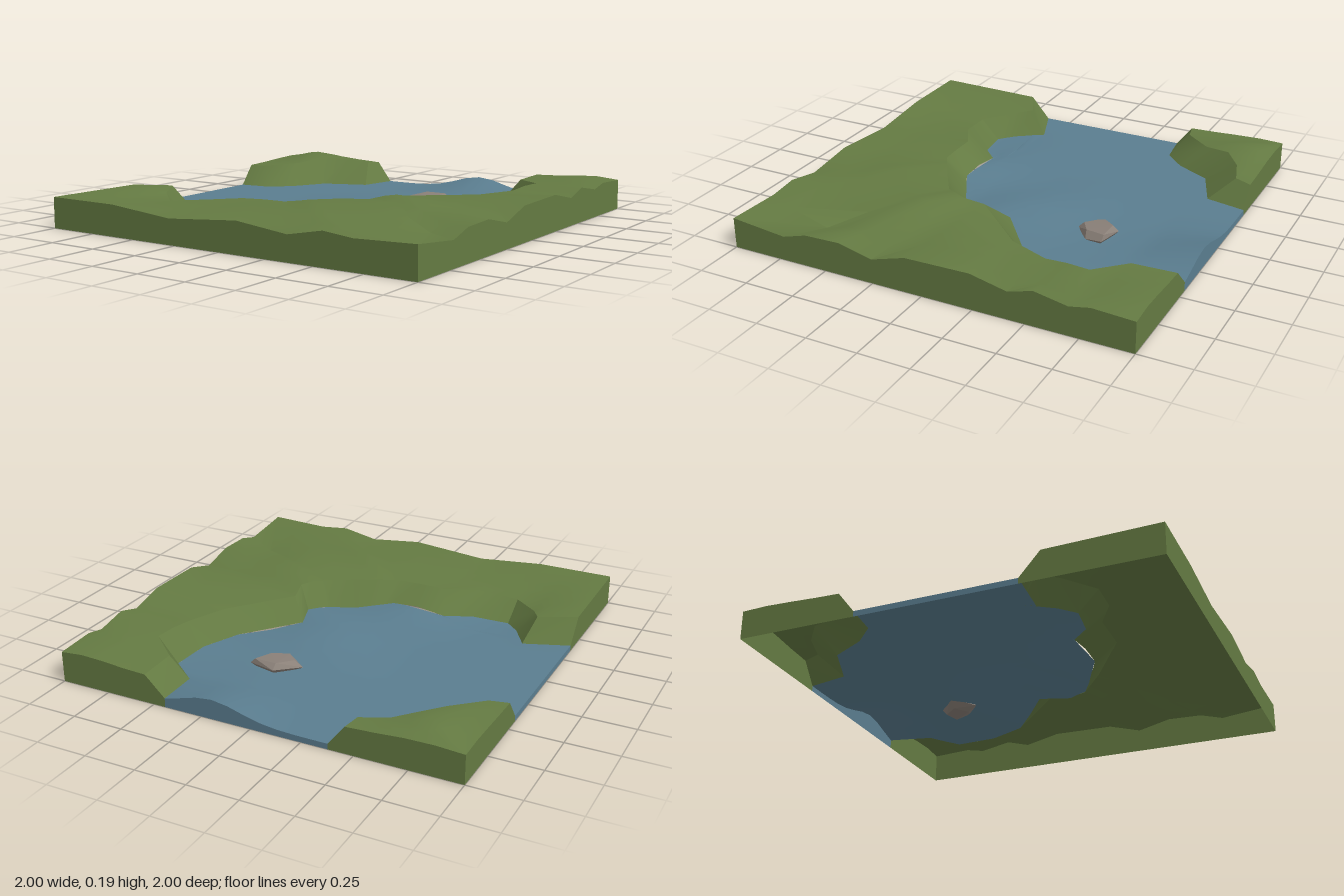
import * as THREE from 'three';
import { toCreasedNormals } from 'three/addons/utils/BufferGeometryUtils.js';
import { ConvexGeometry } from 'three/addons/geometries/ConvexGeometry.js';

const { lerp } = THREE.MathUtils;

// Sum of soft bumps, each [x, z, height, radius]
const bumps = (list, x, z) => list.reduce(
  (sum, [bx, bz, h, r]) => sum + h * Math.exp(-((x - bx) ** 2 + (z - bz) ** 2) / (r * r)), 0);

const WAVES = [[0.2, -1, 0.07, 0.2], [0.12, -0.06, 0.045, 0.22], [-0.15, 0.4, 0.045, 0.22],
  [-0.1, -0.27, 0.012, 0.2], [-0.62, 0.5, -0.012, 0.2], [0.3, 0.12, 0.02, 0.12]];
const HILLS = [[0.45, 0.36, 0.025, 0.2], [0.15, 0.5, 0.02, 0.2], [0.8, 0.57, -0.02, 0.14],
  [-0.79, -0.85, 0.025, 0.18], [0.85, -0.9, 0.02, 0.15], [-0.4, 0.8, -0.012, 0.2]];

const waterPoint = (x, z) => [x, 0.027 + bumps(WAVES, x, z), z];

// Surface through rows of points
function loft(name, rows, material) {
  const pos = [];
  const tri = (a, b, c) => {
    const same = (p, q) => p.every((v, i) => Math.abs(v - q[i]) < 1e-6);
    if (!same(a, b) && !same(b, c) && !same(a, c)) pos.push(...a, ...b, ...c);
  };
  for (let i = 0; i < rows.length - 1; i++) {
    for (let j = 0; j < rows[i].length - 1; j++) {
      const [a, b, c, d] = [rows[i][j], rows[i + 1][j], rows[i + 1][j + 1], rows[i][j + 1]];
      tri(a, b, c);
      tri(a, c, d);
    }
  }
  const geometry = new THREE.BufferGeometry();
  geometry.setAttribute('position', new THREE.Float32BufferAttribute(pos, 3));
  const mesh = new THREE.Mesh(toCreasedNormals(geometry, 0.5), material);
  mesh.name = name;
  return mesh;
}

// Vertical side dropping from a line of points to the ground
const skirt = (name, line, material) =>
  loft(name, line.map(([x, y, z]) => [[x, y, z], [x, 0, z]]), material);

// Land sections: shore x z, bank top x z y, tile border x z y
const EAST = [
  [0.44, -1, 0.54, -1, 0.14, 1, -1, 0.15],
  [0.46, -0.77, 0.55, -0.79, 0.14, 1, -0.8, 0.16],
  [0.60, -0.66, 0.70, -0.66, 0.15, 1, -0.7, 0.14],
  [0.595, -0.55, 0.69, -0.55, 0.15, 1, -0.54, 0.17],
  [0.59, -0.45, 0.68, -0.44, 0.14, 1, -0.42, 0.135],
  [0.51, -0.26, 0.60, -0.24, 0.14, 1, -0.24, 0.175],
  [0.26, -0.05, 0.35, 0.04, 0.15, 1, 0.08, 0.17],
  [0.31, 0.10, 0.37, 0.14, 0.17, 1, 0.25, 0.12],
  [0.27, 0.16, 0.34, 0.20, 0.17, 1, 0.42, 0.16],
  [0.25, 0.19, 0.32, 0.23, 0.165, 1, 0.6, 0.155],
  [0.23, 0.21, 0.30, 0.26, 0.16, 1, 0.72, 0.12],
];
const SOUTH = [
  [0.12, 0.27, 0.16, 0.35, 0.16, 1, 1, 0.15],
  [0.04, 0.31, 0.06, 0.41, 0.155, 0.7, 1, 0.14],
  [0.0, 0.335, 0.02, 0.435, 0.15, 0.55, 1, 0.155],
  [-0.05, 0.36, -0.04, 0.47, 0.145, 0.37, 1, 0.12],
  [-0.18, 0.36, -0.15, 0.475, 0.145, 0.1, 1, 0.15],
  [-0.33, 0.36, -0.28, 0.48, 0.14, -0.28, 1, 0.12],
  [-0.45, 0.46, -0.44, 0.57, 0.13, -0.45, 1, 0.135],
  [-0.63, 0.49, -0.64, 0.59, 0.11, -0.62, 1, 0.15],
  [-0.70, 0.42, -0.77, 0.47, 0.12, -0.8, 1, 0.15],
  [-0.78, 0.28, -0.82, 0.37, 0.14, -0.9, 1, 0.15],
  [-1, 0.36, -1, 0.46, 0.14, -1, 1, 0.15],
];
const CORNER = [
  [-1, -0.42, -1, -0.50, 0.13],
  [-0.83, -0.44, -0.91, -0.52, 0.13],
  [-0.73, -0.54, -0.78, -0.66, 0.14],
  [-0.64, -0.71, -0.71, -0.80, 0.165],
  [-0.53, -0.755, -0.61, -0.88, 0.15],
  [-0.42, -0.80, -0.48, -0.92, 0.14],
  [-0.38, -1, -0.46, -1, 0.13],
].map((s) => [...s, -1, -1, 0.14]);

// Bank, rolling ground and outer side of one piece of land
function buildLand(name, sections, material) {
  const group = new THREE.Group();
  group.name = name;
  const ground = sections.map(([, , ox, oz, oy, bx, bz, by]) =>
    [0, 0.25, 0.5, 0.75, 1].map((t) => {
      const x = lerp(ox, bx, t), z = lerp(oz, bz, t);
      const inside = t > 0 && t < 1 ? bumps(HILLS, x, z) : 0;
      return [x, lerp(oy, by, t) + inside, z];
    }));
  const rows = ground.map((row, i) => [waterPoint(sections[i][0], sections[i][1]), ...row]);
  const border = rows.slice(1, -1).map((row) => row.at(-1));
  const rim = [...rows[0], ...border, ...rows.at(-1).slice().reverse()];
  group.add(
    loft('bank', rows.map((row) => row.slice(0, 2)), material),
    loft('ground', ground, material),
    skirt('landSide', rim, material),
  );
  return group;
}

// Water sections: west end x z, east end x z
const POND = [
  [-0.38, -1, 0.44, -1], [-0.42, -0.8, 0.46, -0.77], [-0.53, -0.755, 0.53, -0.715],
  [-0.64, -0.71, 0.60, -0.66], [-0.73, -0.54, 0.59, -0.45], [-0.83, -0.44, 0.55, -0.355],
  [-1, -0.42, 0.51, -0.26], [-1, -0.25, 0.385, -0.155], [-1, -0.05, 0.26, -0.05],
  [-1, 0.1, 0.31, 0.10], [-1, 0.22, 0.27, 0.16], [-1, 0.30, 0.23, 0.21],
  [-1, 0.36, 0.12, 0.27], [-0.78, 0.28, -0.05, 0.36], [-0.74, 0.35, -0.33, 0.36],
  [-0.70, 0.42, -0.45, 0.46], [-0.63, 0.49, -0.63, 0.49],
];

function buildWater(material) {
  const group = new THREE.Group();
  group.name = 'water';
  const steps = 10;
  const rows = POND.map(([ax, az, bx, bz]) => Array.from({ length: steps + 1 },
    (_, i) => waterPoint(lerp(ax, bx, i / steps), lerp(az, bz, i / steps))));
  const westEdge = rows.slice(6, 13).map((row) => row[0]).reverse();
  group.add(
    loft('waterSurface', rows, material),
    skirt('waterBackSide', rows[0], material),
    skirt('waterWestSide', westEdge, material),
  );
  return group;
}

// Faceted boulder poking out of the water
function buildRock() {
  const points = [
    [0.09, 0.062, -0.44], [0.14, 0.075, -0.53], [0.25, 0.075, -0.53], [0.22, 0.066, -0.43], [0.145, 0.06, -0.385],
    [0.04, 0.04, -0.45], [0.14, 0.05, -0.56], [0.275, 0.05, -0.53], [0.255, 0.035, -0.44], [0.15, 0.03, -0.355],
    [0.09, 0.005, -0.45], [0.15, 0.005, -0.52], [0.23, 0.005, -0.5], [0.16, 0.005, -0.4],
  ].map((p) => new THREE.Vector3(...p));
  const material = new THREE.MeshStandardMaterial({ color: 0x8a8078, flatShading: true });
  const rock = new THREE.Mesh(new ConvexGeometry(points), material);
  rock.name = 'rock';
  return rock;
}

export function createModel() {
  const grass = new THREE.MeshStandardMaterial({ color: 0x647a42, side: THREE.DoubleSide });
  const water = new THREE.MeshStandardMaterial({ color: 0x5a7d8f, side: THREE.DoubleSide });
  const model = new THREE.Group();
  model.name = 'pondTile';
  model.add(
    buildLand('mainLand', [...EAST, ...SOUTH], grass),
    buildLand('cornerLand', CORNER, grass),
    buildWater(water),
    buildRock(),
  );
  return model;
}
